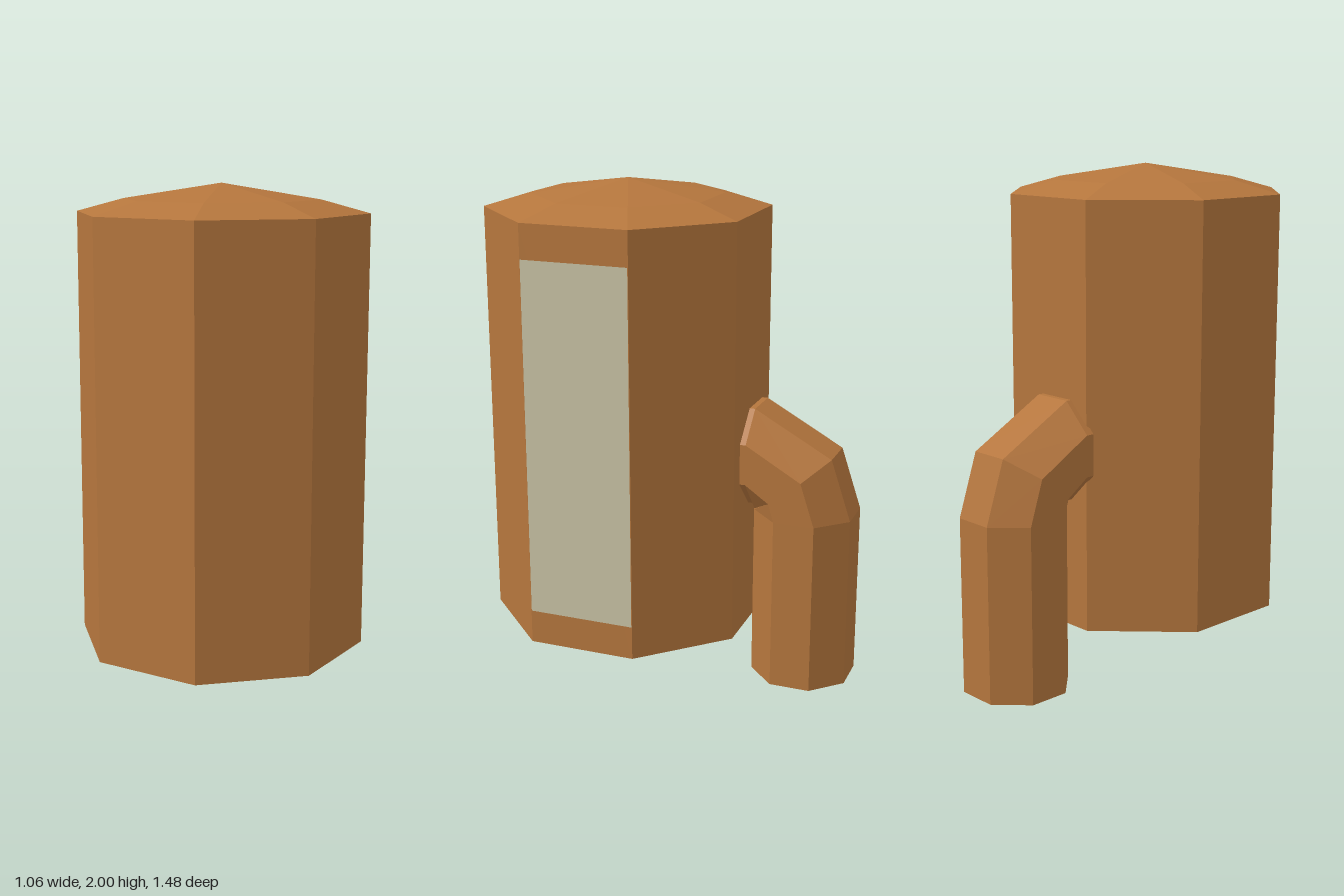
import * as THREE from 'three';

const SIDES = 8;
const BODY_R = 0.565;
const PIPE_R = 0.214;

function mesh(name, geometry, color, side = THREE.FrontSide) {
  const material = new THREE.MeshStandardMaterial({ color, flatShading: true, side });
  const m = new THREE.Mesh(geometry, material);
  m.name = name;
  return m;
}

// Octagonal tube through rings: [y, z, outward y, outward z]
function pipeGeometry(rings, x, r) {
  const position = [], index = [];
  rings.forEach(([y, z, ny, nz], i) => {
    for (let k = 0; k < SIDES; k++) {
      const a = ((k + 0.5) / SIDES) * Math.PI * 2;
      const s = r * Math.sin(a);
      position.push(x + r * Math.cos(a), y + s * ny, z + s * nz);
      if (i === 0) continue;
      const n = (k + 1) % SIDES, lo = (i - 1) * SIDES, hi = i * SIDES;
      index.push(lo + k, lo + n, hi + n, lo + k, hi + n, hi + k);
    }
  });
  const g = new THREE.BufferGeometry();
  g.setAttribute('position', new THREE.Float32BufferAttribute(position, 3));
  g.setIndex(index);
  const flat = g.toNonIndexed();
  flat.computeVertexNormals();
  return flat;
}

export function createModel() {
  const group = new THREE.Group();
  group.name = 'tankWithPipe';
  const brown = 0xb5763d;

  // Octagonal tank with a shallow two-step roof
  const profile = [[0, 0.21], [BODY_R, 0.21], [BODY_R, 1.89], [0.38, 1.94], [0, 2]]
    .map(([r, y]) => new THREE.Vector2(r, y));
  const body = new THREE.LatheGeometry(profile, SIDES, Math.PI / SIDES);
  group.add(mesh('tankBody', body, brown));

  // Pale panel filling one side face
  const half = Math.PI / SIDES;
  const panel = new THREE.PlaneGeometry(2 * BODY_R * Math.sin(half) - 0.004, 1.41);
  panel.rotateY(Math.PI / 2);
  panel.translate(BODY_R * Math.cos(half) + 0.002, 1.05, 0);
  group.add(mesh('sidePanel', panel, 0xc8c2a4));

  // Open pipe rising from the ground and bending into the back wall
  const pipe = pipeGeometry([
    [0, -0.745, 0, -1],
    [0.705, -0.745, 0, -1],
    [0.83, -0.705, 0.615, -0.788],
    [0.928, -0.545, 1, 0],
    [0.928, -0.512, 1, 0],
  ], -0.048, PIPE_R);
  group.add(mesh('backPipe', pipe, brown, THREE.DoubleSide));

  // Slight twist about the tank axis
  group.rotation.y = -0.035;
  group.position.z = 0.21;
  const root = new THREE.Group();
  root.name = 'model';
  root.add(group);
  return root;
}
